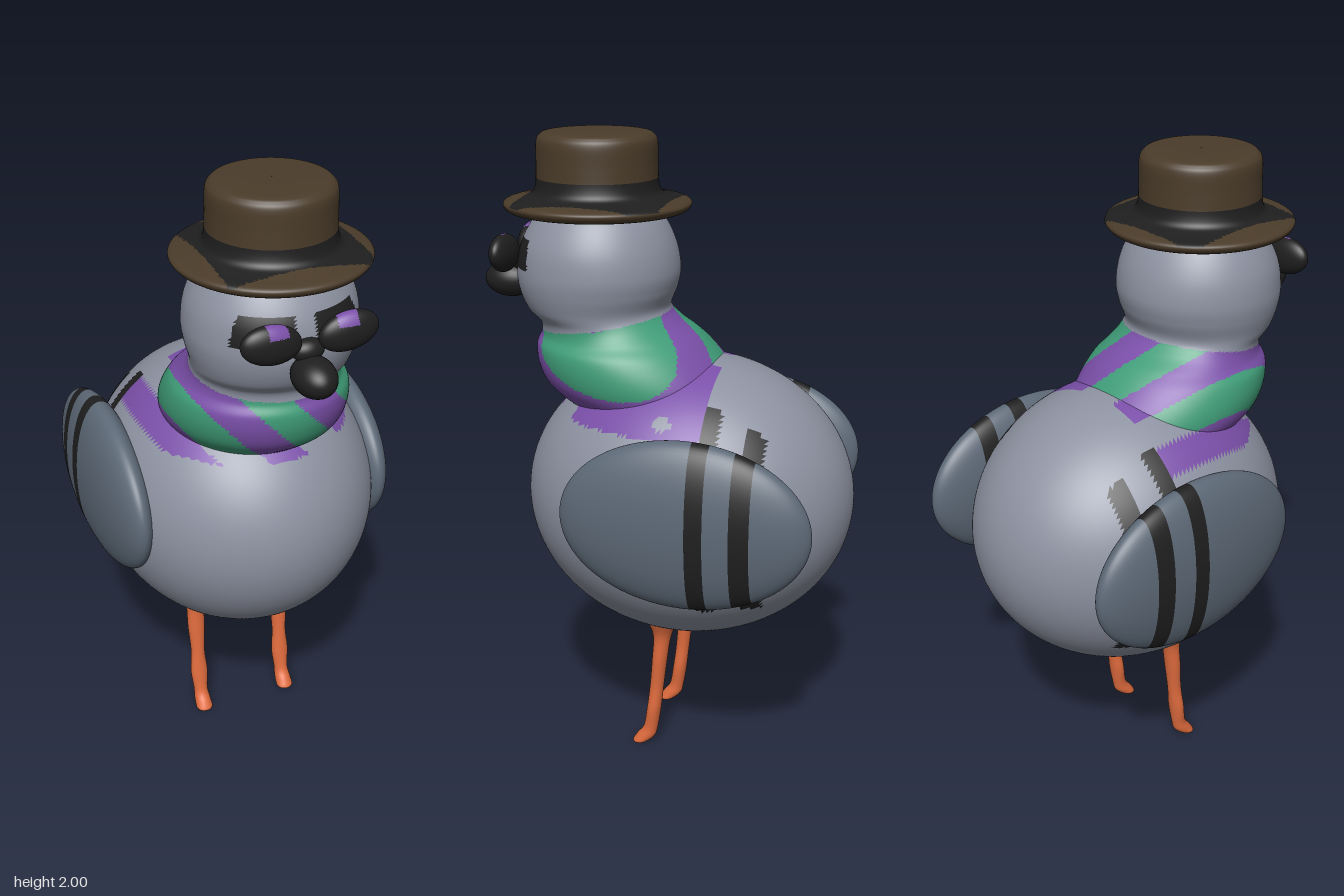
import * as THREE from 'three';

const mat = (name, color) => Object.assign(new THREE.MeshStandardMaterial({ color }), { name });
const grey = mat('feather grey', 0x8d92a1);
const slate = mat('wing slate', 0x5d6977);
const black = mat('soft black', 0x1f1f1f);
const green = mat('scarf green', 0x3f9c78);
const purple = mat('scarf purple', 0x7a4fa8);
const brown = mat('hat brown', 0x4b3c2a);
const orange = mat('leg orange', 0xe06c3e);

// Ellipsoid with its poles along z, moved into place so colour rules can use model coordinates
function ellipsoid([x, y, z], [rx, ry, rz], around, along, tilt = 0) {
  return new THREE.SphereGeometry(1, around, along)
    .rotateX(Math.PI / 2).scale(rx, ry, rz).rotateZ(tilt).translate(x, y, z);
}

// Smooth skin over horizontal rings given as [y, front z, back z, half width]
function loft(rings, around, steps, cx = 0) {
  const depth = new THREE.CatmullRomCurve3(
    rings.map(([y, f, b]) => new THREE.Vector3(f, y, b)), false, 'catmullrom');
  const width = new THREE.CatmullRomCurve3(
    rings.map(([y, , , w]) => new THREE.Vector3(w, y, 0)), false, 'catmullrom');
  const pos = [], index = [];
  for (let i = 0; i <= steps; i++) {
    const d = depth.getPoint(i / steps), w = width.getPoint(i / steps).x;
    for (let j = 0; j < around; j++) {
      const a = (j / around) * Math.PI * 2;
      pos.push(cx + w * Math.sin(a), Math.max(0, d.y), (d.x + d.z) / 2 + (d.x - d.z) / 2 * Math.cos(a));
      if (i === steps) continue;
      const k = (j + 1) % around, p = i * around, q = p + around;
      index.push(p + j, p + k, q + k, p + j, q + k, q + j);
    }
  }
  const geo = new THREE.BufferGeometry();
  geo.setAttribute('position', new THREE.Float32BufferAttribute(pos, 3));
  geo.setIndex(index);
  geo.computeVertexNormals();
  return geo;
}

// Sorts the faces into material groups by a rule on each face centre
function painted(name, geo, materials, rule) {
  const p = geo.attributes.position, idx = geo.index.array;
  const buckets = materials.map(() => []);
  for (let i = 0; i < idx.length; i += 3) {
    const [a, b, c] = [idx[i], idx[i + 1], idx[i + 2]];
    const mid = (get) => (p[get](a) + p[get](b) + p[get](c)) / 3;
    buckets[materials.indexOf(rule(mid('getX'), mid('getY'), mid('getZ')))].push(a, b, c);
  }
  geo.setIndex(buckets.flat());
  geo.clearGroups();
  let start = 0;
  buckets.forEach((b, m) => {
    if (b.length) geo.addGroup(start, b.length, m);
    start += b.length;
  });
  const mesh = new THREE.Mesh(geo, materials);
  mesh.name = name;
  return mesh;
}

function plain(name, geo, material) {
  const mesh = new THREE.Mesh(geo, material);
  mesh.name = name;
  return mesh;
}

// Diagonal scarf stripes and the two wing bars
const purpleStripe = (x, y) => {
  const s = (x + 0.95 * (y - 1.38)) / 0.27;
  return s - Math.floor(s) < 0.49;
};
const wingBar = (z) => (z < -0.196 && z > -0.252) || (z < -0.328 && z > -0.387);

export function createModel() {
  const model = new THREE.Group();
  model.name = 'bird';

  // Round body, with the scarf stripes and wing bars running onto it
  model.add(painted('body', ellipsoid([0, 0.86, -0.08], [0.45, 0.46, 0.53], 144, 110),
    [grey, purple, black], (x, y, z) => {
      if (wingBar(z) && Math.abs(x) > 0.25 && y > 0.6) return black;
      return y > 1.14 && z > -0.2 && purpleStripe(x, y) ? purple : grey;
    }));

  // Head, pinched neck and puffy scarf
  const headRings = [
    [1.10, 0.22, -0.24, 0.22], [1.16, 0.31, -0.25, 0.25], [1.22, 0.385, -0.24, 0.28],
    [1.28, 0.415, -0.20, 0.287], [1.34, 0.42, -0.145, 0.275], [1.38, 0.405, -0.10, 0.245],
    [1.42, 0.41, -0.04, 0.232], [1.46, 0.45, -0.005, 0.24], [1.52, 0.475, -0.025, 0.256],
    [1.58, 0.48, -0.035, 0.262], [1.66, 0.465, -0.02, 0.25], [1.74, 0.42, 0.02, 0.21],
    [1.80, 0.36, 0.08, 0.15],
  ];
  model.add(painted('headAndScarf', loft(headRings, 128, 96),
    [grey, green, purple, black], (x, y, z) => {
      if (y < 1.45 - 0.16 * z) {
        if (purpleStripe(x, y)) return purple;
        return y > 1.16 && z > -0.19 ? green : grey;
      }
      const ax = Math.abs(x);
      return y > 1.59 && y < 1.68 && z > 0.39 && ax > 0.03 && ax < 0.2 ? black : grey;
    }));

  // Beak
  model.add(plain('beak', ellipsoid([0, 1.522, 0.525], [0.063, 0.058, 0.085], 32, 24), black));
  model.add(plain('bridge', ellipsoid([0, 1.585, 0.48], [0.05, 0.035, 0.035], 24, 16), black));

  for (const side of [-1, 1]) {
    const label = side > 0 ? 'left' : 'right';

    // Dark lens with a purple glint
    model.add(painted(label + 'Lens',
      ellipsoid([side * 0.118, 1.628, 0.495], [0.092, 0.06, 0.036], 64, 40, side * 0.12),
      [black, purple], (x, y, z) =>
        y > 1.655 && Math.abs(Math.abs(x) - 0.105) < 0.03 && z > 0.49 ? purple : black));

    // Flat oval wing with two bars
    model.add(painted(label + 'Wing',
      ellipsoid([side * 0.405, 0.897, -0.17], [0.09, 0.266, 0.39], 72, 90),
      [slate, black], (x, y, z) => (wingBar(z) ? black : slate)));

    // Thin leg curving into a small toe
    const legRings = [
      [0, 0.052, 0.048, 0.002], [0, 0.072, 0.025, 0.027], [0.025, 0.058, -0.004, 0.027],
      [0.06, 0.034, -0.014, 0.024], [0.13, 0.022, -0.025, 0.03], [0.21, 0.012, -0.034, 0.024],
      [0.31, 0.004, -0.046, 0.03], [0.4, 0, -0.06, 0.032], [0.46, 0.02, -0.085, 0.055],
    ];
    model.add(plain(label + 'Leg', loft(legRings, 20, 40, side * 0.155), orange));
  }

  // Hat: rolled brim and rounded crown, with a dark band spreading onto the brim
  const key = [
    [0.02, 1.752], [0.2, 1.752], [0.27, 1.757], [0.293, 1.775], [0.285, 1.79], [0.24, 1.8],
    [0.205, 1.812], [0.192, 1.84], [0.189, 1.9], [0.188, 1.965], [0.178, 1.988],
    [0.155, 1.998], [0.08, 2], [0.001, 2],
  ].map(([r, y]) => new THREE.Vector2(r, y));
  const profile = new THREE.SplineCurve(key).getPoints(104);
  profile.forEach((v) => { v.x = Math.max(0, v.x); v.y = Math.min(2, v.y); });
  const hat = new THREE.LatheGeometry(profile, 112).translate(0, 0, 0.225);
  model.add(painted('hat', hat, [brown, black], (x, y, z) =>
    y > 1.783 && y < 1.862 && x > -0.215 && x < 0.24 && z > -0.02 && z < 0.437 ? black : brown));

  return model;
}
